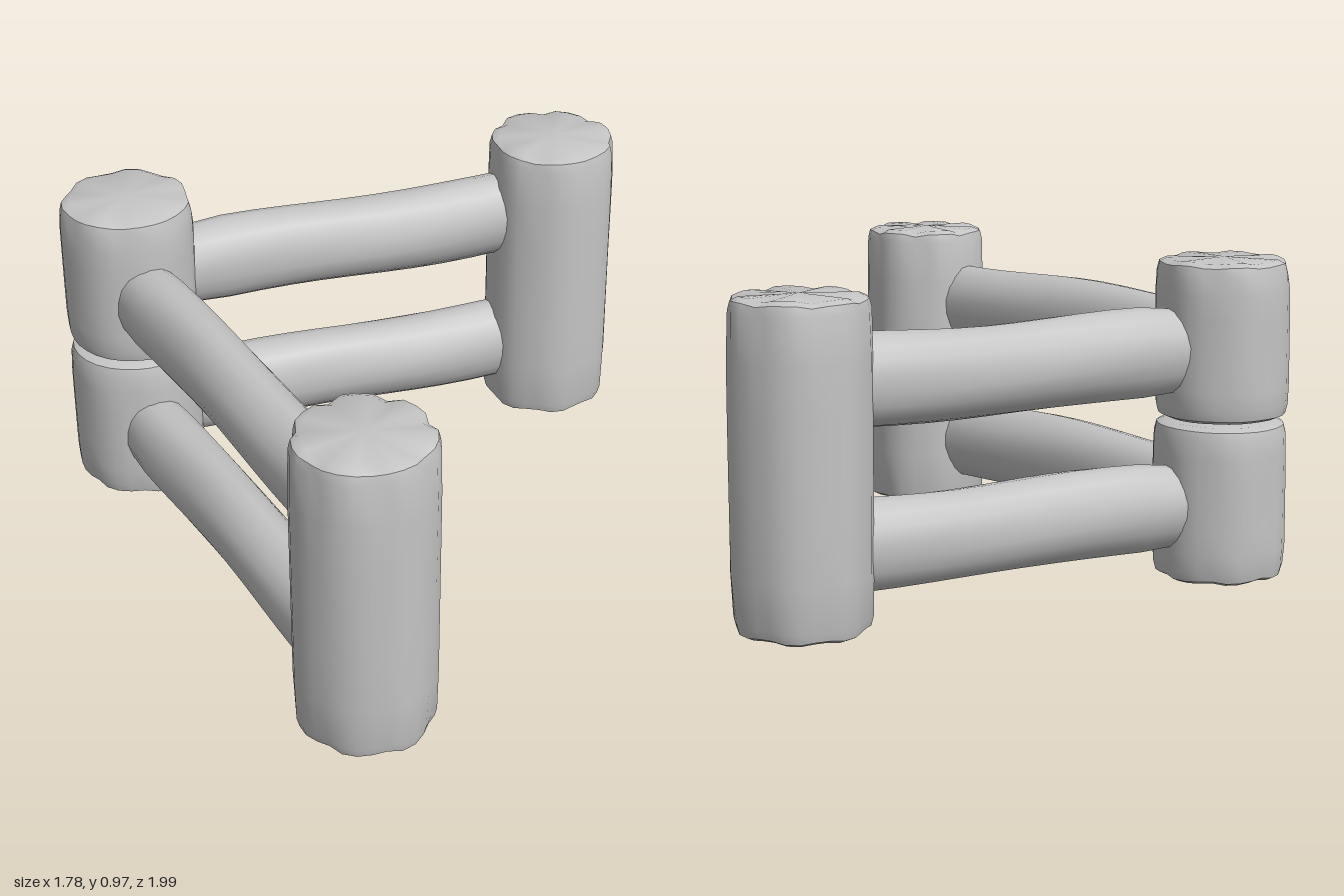
import * as THREE from 'three';
import { mergeVertices, toCreasedNormals } from 'three/addons/utils/BufferGeometryUtils.js';

// Weld a lathe's seam after its vertices have been moved, keeping sharp rims
function finish(geometry) {
  geometry.deleteAttribute('uv');
  geometry.deleteAttribute('normal');
  return toCreasedNormals(mergeVertices(geometry, 1e-4), 0.75);
}

// Upright log: nearly round, with shallow bark grooves and worn rims
function logGeometry(height, seed, wornBottom, wornTop) {
  const edge = 0.025;
  const rows = [[0, 0], [0.165, 0.002], [0.188, edge * 0.5], [0.195, edge * 1.6]];
  for (let i = 1; i < 6; i++) rows.push([0.198, edge + (height - 2 * edge) * i / 6]);
  rows.push([0.195, height - edge * 1.6], [0.188, height - edge * 0.5], [0.165, height - 0.002], [0, height]);
  const g = new THREE.LatheGeometry(rows.map(([r, y]) => new THREE.Vector2(r, y)), 28);
  const p = g.attributes.position;
  for (let i = 0; i < p.count; i++) {
    const x = p.getX(i), y = p.getY(i), z = p.getZ(i);
    const r = Math.hypot(x, z);
    if (r < 0.01) continue;
    const a = Math.atan2(z, x), t = y / height;
    const groove = Math.pow(0.5 + 0.5 * Math.cos(7 * a + seed * 2 + 0.3 * Math.sin(3 * t + seed)), 6);
    const worn = (t > 0.85 ? wornTop : t < 0.15 ? wornBottom : 0.4);
    const k = 1.015 + 0.012 * Math.sin(3 * a + seed + 2 * t) - 0.09 * groove * worn;
    p.setXYZ(i, x * k, y + (t > 0.9 ? -0.012 * groove * wornTop : 0) + (t < 0.1 ? 0.012 * groove * wornBottom : 0), z * k);
  }
  return finish(g);
}

// Rail: an oval beam along z with gentle hewn unevenness
function railGeometry(length, seed) {
  const points = [];
  for (let i = 0; i <= 12; i++) points.push(new THREE.Vector2(1, length * i / 12));
  const g = new THREE.LatheGeometry(points, 18);
  const p = g.attributes.position;
  for (let i = 0; i < p.count; i++) {
    const x = p.getX(i), t = p.getY(i) / length, z = p.getZ(i);
    const a = Math.atan2(z, x);
    const k = (t < 0.14 ? 0.87 + 0.93 * t : 1) + 0.02 * Math.sin(2 * a + 9 * t + seed) + 0.015 * Math.sin(5 * a - 6 * t + seed);
    const bend = 0.007 * Math.sin(7 * t + seed);
    p.setXYZ(i, x * 0.101 * k, p.getY(i), z * 0.132 * k + bend);
  }
  g.rotateX(Math.PI / 2);
  return finish(g);
}

export function createModel() {
  const model = new THREE.Group();
  const wood = new THREE.MeshStandardMaterial({ color: 0xc4c4c4 });
  wood.name = 'plain grey';

  const add = (name, geometry, x, y, z) => {
    const mesh = new THREE.Mesh(geometry, wood);
    mesh.name = name;
    mesh.position.set(x, y, z);
    model.add(mesh);
    return mesh;
  };

  // Two whole end posts and a corner post stacked from two logs
  add('frontPost', logGeometry(0.945, 1.1, 1, 1), 0.69, 0.015, 0.79);
  add('backPost', logGeometry(0.945, 2.7, 1, 1), -0.095, 0.015, -0.8);
  add('cornerPostLower', logGeometry(0.482, 0.4, 0.8, 0.1), -0.69, 0.014, 0.445);
  add('cornerPostUpper', logGeometry(0.48, 0.4, 0.1, 1), -0.69, 0.503, 0.445);

  // Two rails from the corner to each end post
  const spans = [
    ['front', [-0.65, 0.475], [0.62, 0.81]],
    ['back', [-0.65, 0.355], [-0.135, -0.74]],
  ];
  spans.forEach(([side, a, b], s) => {
    const dx = b[0] - a[0], dz = b[1] - a[1];
    [['Lower', 0.243], ['Upper', 0.708]].forEach(([level, y], l) => {
      const rail = add(side + level + 'Rail', railGeometry(Math.hypot(dx, dz), 0.8 + s * 1.7 + l * 0.6), a[0], y, a[1]);
      rail.rotation.y = Math.atan2(dx, dz);
    });
  });
  return model;
}
